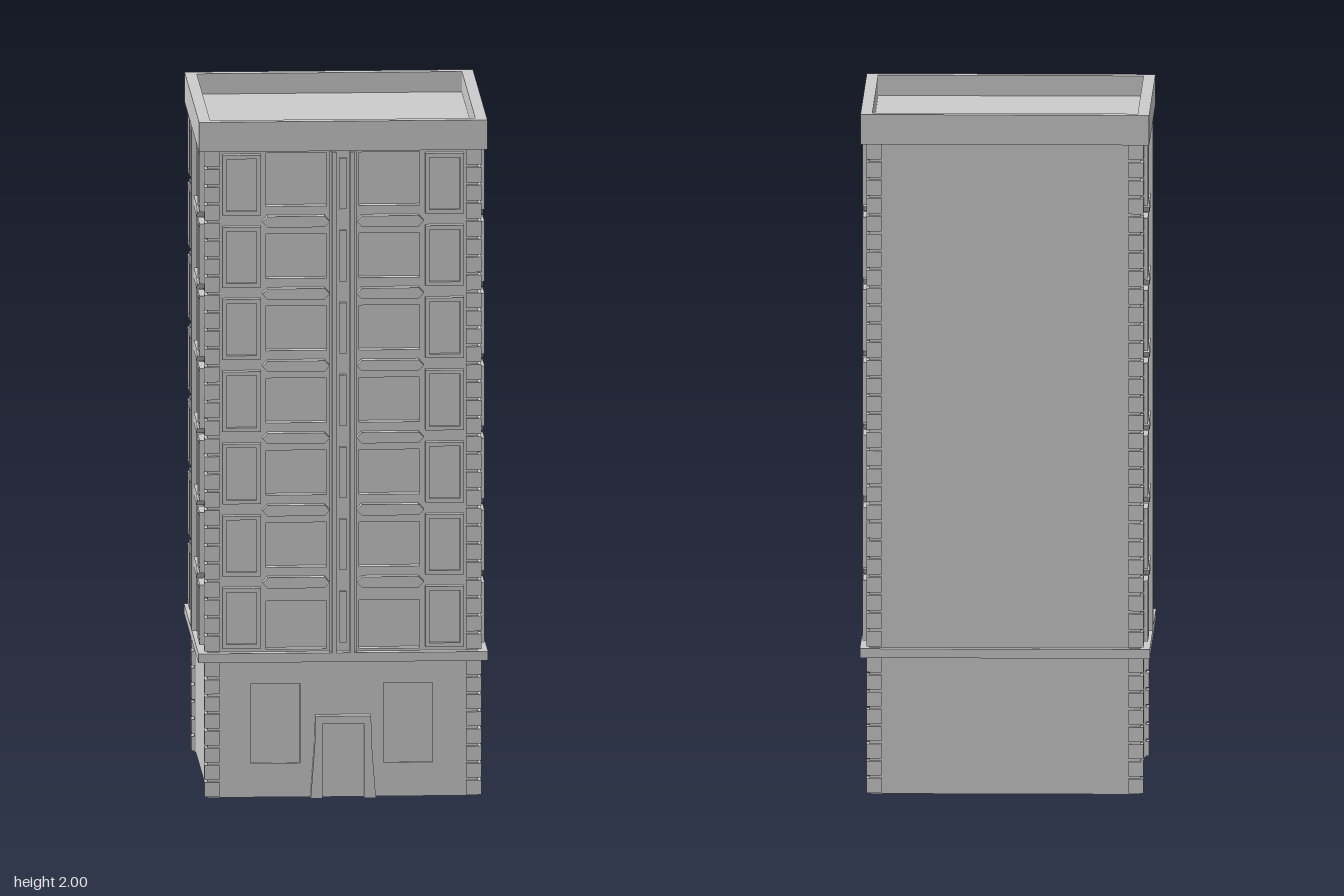
import * as THREE from 'three';

const mat = new THREE.MeshStandardMaterial({ color: 0xcccccc, flatShading: true, side: THREE.DoubleSide });
const FLOORS = 7, PITCH = 0.2133, WALL = 0.39, GLASS = 0.36;

function add(parent, name, geometry, x = 0, y = 0, z = 0) {
  const m = new THREE.Mesh(geometry, mat);
  m.name = name;
  m.position.set(x, y, z);
  parent.add(m);
  return m;
}

// box given by its extents on each axis
function block(parent, name, x0, x1, y0, y1, z0, z1) {
  return add(parent, name, new THREE.BoxGeometry(x1 - x0, y1 - y0, z1 - z0),
    (x0 + x1) / 2, (y0 + y1) / 2, (z0 + z1) / 2);
}

const poly = (pts, Type = THREE.Shape) => new Type(pts.map(p => new THREE.Vector2(...p)));
const rect = (x0, x1, y0, y1) => [[x0, y0], [x1, y0], [x1, y1], [x0, y1]];

// flat outline with optional holes, pushed from z0 out to z1
function slab(parent, name, outline, holes, z0, z1) {
  const s = poly(outline);
  s.holes = holes.map(h => poly(h, THREE.Path));
  return add(parent, name, new THREE.ExtrudeGeometry(s, { depth: z1 - z0, bevelEnabled: false }), 0, 0, z0);
}

// one windowed side of the tower, facing +z
function facade() {
  const g = new THREE.Group();
  g.name = 'facade';
  const openings = [];
  for (let i = 0; i < FLOORS; i++) {
    const y = 0.637 + PITCH * (i - 1);
    const bottom = i === 0 ? 0.437 : y + 0.042;
    const top = i === 0 ? 0.58 : i === FLOORS - 1 ? 1.903 : y + 0.174;
    for (const s of [-1, 1]) {
      const [a, b] = s > 0 ? [0.048, 0.223] : [-0.223, -0.048];
      openings.push(rect(a, b, bottom, top));

      // small framed window near the corner
      const cx = s * 0.296, cy = 0.533 + PITCH * i;
      slab(g, 'windowFrame', rect(cx - 0.056, cx + 0.056, cy - 0.089, cy + 0.089),
        [rect(cx - 0.044, cx + 0.044, cy - 0.077, cy + 0.077)], WALL, 0.415);
      block(g, 'windowPane', cx - 0.046, cx + 0.046, cy - 0.079, cy + 0.079, WALL, 0.402);

      // ledge with pointed ends between floors
      if (i > 0) {
        const c = s * 0.137, w = 0.098, h = 0.016;
        slab(g, 'windowLedge', [[c - w, y], [c - w + 0.015, y - h], [c + w - 0.015, y - h],
          [c + w, y], [c + w - 0.015, y + h], [c - w + 0.015, y + h]], [], WALL, 0.417);
      }
    }
    // narrow panel in the centre strip
    const py = 0.533 + PITCH * i;
    block(g, 'stripPanel', -0.01, 0.01, py - 0.075, py + 0.075, WALL, 0.405);
  }
  slab(g, 'facadeWall', rect(-WALL, WALL, 0.42, 1.92), openings, GLASS, WALL);

  // central pilaster: two stepped ribs beside a sunken strip
  for (const s of [-1, 1]) {
    add(g, 'pilasterRib', new THREE.BoxGeometry(0.012, 1.48, 0.032), s * 0.026, 1.17, 0.406);
    add(g, 'pilasterEdge', new THREE.BoxGeometry(0.008, 1.48, 0.02), s * 0.035, 1.17, 0.4);
  }
  return g;
}

export function createModel() {
  const model = new THREE.Group();
  model.name = 'towerBlock';

  // tower core and its plain back
  block(model, 'towerCore', -GLASS, GLASS, 0.405, 1.92, -WALL, GLASS);
  for (const turn of [-1, 0, 1]) {
    const f = facade();
    f.rotation.y = turn * Math.PI / 2;
    model.add(f);
  }

  // ground storey: open underneath, with thin walls
  const ground = new THREE.Group();
  ground.name = 'groundStorey';
  model.add(ground);
  const windows = [rect(-0.268, -0.125, 0.1, 0.335), rect(0.118, 0.262, 0.1, 0.335)];
  slab(ground, 'frontWall', rect(-WALL, WALL, 0, 0.405), windows, WALL - 0.01, WALL);
  for (const w of windows)
    block(ground, 'groundWindow', w[0][0], w[1][0], w[0][1], w[2][1], WALL - 0.012, WALL - 0.006);
  block(ground, 'backWall', -WALL, WALL, 0, 0.405, -WALL, -WALL + 0.01);
  for (const s of [-1, 1])
    add(ground, 'sideWall', new THREE.BoxGeometry(0.01, 0.405, 2 * WALL), s * (WALL - 0.005), 0.2025, 0);

  // door surround with flared legs
  slab(ground, 'doorSurround', [[-0.095, 0], [-0.06, 0], [-0.06, 0.22], [0.06, 0.22], [0.06, 0],
    [0.095, 0], [0.083, 0.16], [0.081, 0.243], [-0.081, 0.243], [-0.083, 0.16]], [], WALL, 0.42);
  block(ground, 'door', -0.06, 0.06, 0, 0.22, WALL, 0.393);

  // corner columns of stacked stones with grooves between
  const stones = (y0, y1, n) => {
    const step = (y1 - y0) / n;
    for (const sx of [-1, 1]) for (const sz of [-1, 1]) {
      add(model, 'cornerColumn', new THREE.BoxGeometry(0.036, y1 - y0, 0.036),
        sx * 0.376, (y0 + y1) / 2, sz * 0.376);
      for (let i = 0; i < n; i++)
        add(model, 'cornerStone', new THREE.BoxGeometry(0.044, step - 0.008, 0.044),
          sx * 0.381, y0 + step * (i + 0.5), sz * 0.381);
    }
  };
  stones(0, 0.405, 8);
  stones(0.43, 1.915, 28);

  // string course, roof slab and parapet
  block(model, 'stringCourse', -0.422, 0.422, 0.403, 0.43, -0.42, 0.42);
  block(model, 'roofSlab', -0.42, 0.42, 1.912, 1.94, -0.42, 0.416);
  const parapet = slab(model, 'parapet', rect(-0.42, 0.42, -0.416, 0.42),
    [rect(-0.386, 0.386, -0.384, 0.388)], 0, 0.06);
  parapet.rotation.x = -Math.PI / 2;
  parapet.position.set(0, 1.94, 0);
  return model;
}
